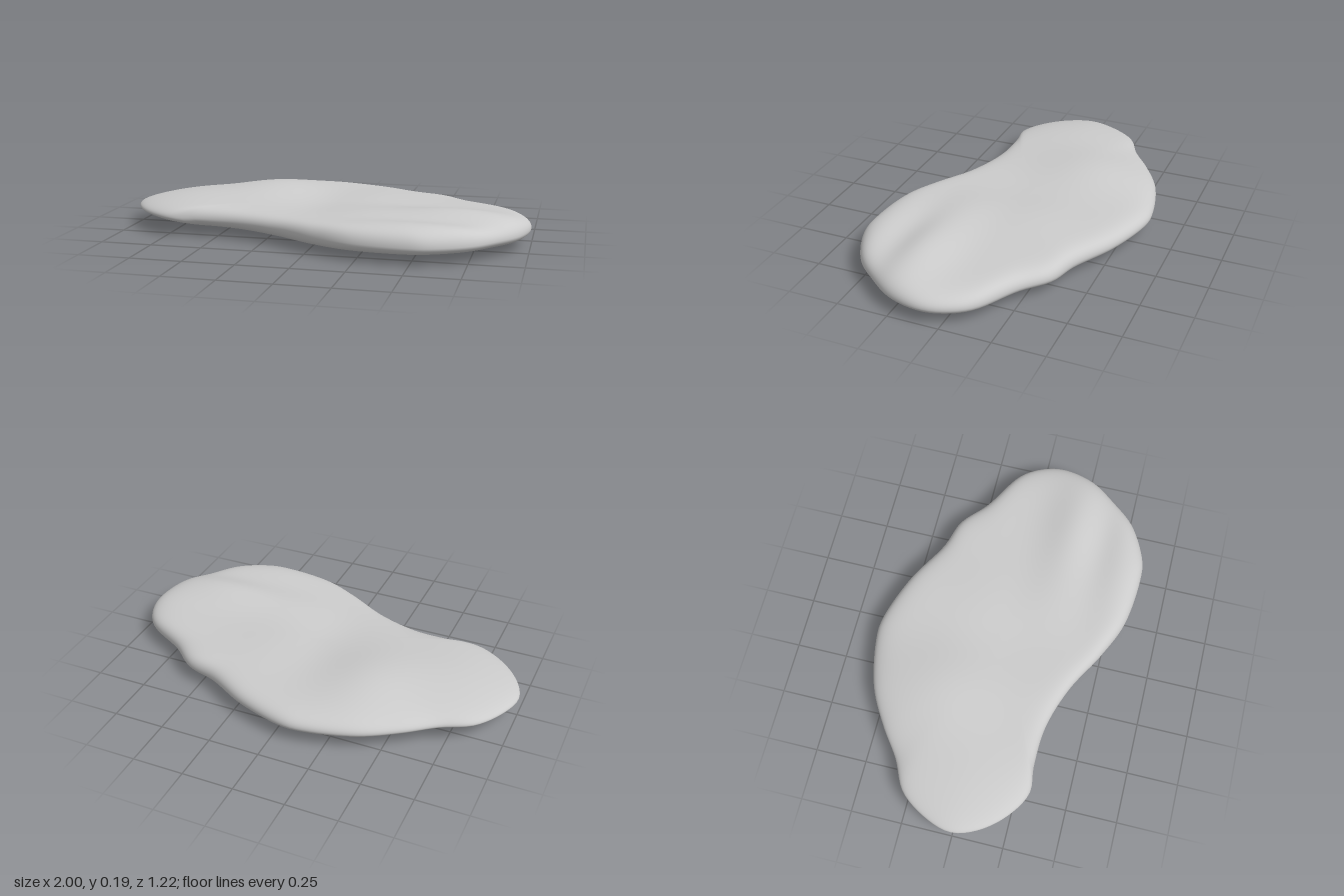
import * as THREE from 'three';
import { mergeVertices } from 'three/addons/utils/BufferGeometryUtils.js';

// Outline of the flat stone seen from above, as [x, z]
const OUTLINE = [
  [-1, 0], [-0.97, -0.12], [-0.87, -0.27], [-0.72, -0.35], [-0.58, -0.45], [-0.4, -0.55],
  [-0.15, -0.61], [-0.05, -0.61], [0.2, -0.53], [0.42, -0.41], [0.57, -0.36], [0.7, -0.25],
  [0.91, -0.12], [0.98, -0.01], [1, 0.1], [0.96, 0.26], [0.87, 0.39], [0.76, 0.51],
  [0.58, 0.6], [0.48, 0.61], [0.22, 0.58], [0.03, 0.5], [-0.18, 0.385], [-0.4, 0.315],
  [-0.6, 0.305], [-0.73, 0.315], [-0.86, 0.24], [-0.96, 0.12],
];

// Soft swellings and hollows: [x, z, width x, width z, height]
const TOP_BUMPS = [
  [-0.33, -0.22, 0.17, 0.2, 0.042], [0.65, 0.23, 0.22, 0.1, 0.042], [0.5, 0.5, 0.25, 0.08, 0.024],
  [-0.7, 0.02, 0.2, 0.25, 0.022], [0.2, -0.12, 0.16, 0.16, 0.012], [-0.05, 0.05, 0.12, 0.2, -0.008],
  [0.25, 0.22, 0.14, 0.12, 0.01], [0.7, 0.36, 0.2, 0.06, -0.008],
];
const BOTTOM_BUMPS = [
  [0.22, 0.05, 0.28, 0.26, -0.037], [-0.15, -0.05, 0.3, 0.3, -0.012],
  [-0.9, 0, 0.25, 0.4, 0.015], [0.95, 0.1, 0.12, 0.2, -0.01],
];

const relief = (bumps, x, z) => bumps.reduce((sum, [cx, cz, wx, wz, h]) =>
  sum + h * Math.exp(-(((x - cx) / wx) ** 2 + ((z - cz) / wz) ** 2) / 2), 0);

function stoneGeometry(segments = 160, rings = 30) {
  const curve = new THREE.CatmullRomCurve3(
    OUTLINE.map(([x, z]) => new THREE.Vector3(x, 0, z)), true, 'centripetal');
  const rim = curve.getSpacedPoints(segments).slice(0, segments);
  const cx = 0.05, cz = 0;
  const positions = [], index = [];

  // Rings run from the top centre out over the rim and back to the bottom centre
  for (let k = -rings; k <= rings; k++) {
    const s = 1 - (k / rings) ** 2;
    for (const p of rim) {
      const x = cx + (p.x - cx) * s, z = cz + (p.z - cz) * s;
      // Thin, tapering left tip; blunt right end and front edge
      const blunt = THREE.MathUtils.smoothstep(p.x, -1, 0.6);
      const power = 6 + 9 * blunt + 5 * blunt * THREE.MathUtils.smoothstep(p.z, 0, 0.5);
      const fade = Math.sqrt(Math.max(0, 1 - s ** power));
      const rimY = 0.098 - 0.012 * blunt;
      const face = k < 0 ? 0.148 + relief(TOP_BUMPS, x, z) : 0.045 + relief(BOTTOM_BUMPS, x, z);
      positions.push(x, rimY + (face - rimY) * fade, z);
    }
  }
  for (let r = 0; r < 2 * rings; r++) {
    for (let i = 0; i < segments; i++) {
      const j = (i + 1) % segments;
      const a = r * segments + i, b = r * segments + j;
      const c = a + segments, d = b + segments;
      // The outline runs clockwise as seen from above
      if (r > 0) index.push(a, b, c);
      if (r < 2 * rings - 1) index.push(b, d, c);
      else index.push(a, b, c);
    }
  }
  const raw = new THREE.BufferGeometry();
  raw.setAttribute('position', new THREE.Float32BufferAttribute(positions, 3));
  raw.setIndex(index);
  const geometry = mergeVertices(raw, 1e-5);

  // Face the surface outward whichever way the outline winds
  const pos = geometry.attributes.position, ix = geometry.index.array;
  const v = [0, 1, 2].map(() => new THREE.Vector3());
  let volume = 0;
  for (let i = 0; i < ix.length; i += 3) {
    v.forEach((q, n) => q.fromBufferAttribute(pos, ix[i + n]));
    volume += v[0].dot(v[1].cross(v[2]));
  }
  if (volume < 0) for (let i = 0; i < ix.length; i += 3) [ix[i], ix[i + 1]] = [ix[i + 1], ix[i]];

  geometry.computeBoundingBox();
  geometry.translate(0, -geometry.boundingBox.min.y, 0);
  geometry.computeVertexNormals();
  return geometry;
}

export function createModel() {
  const group = new THREE.Group();
  group.name = 'flatStone';
  const stone = new THREE.Mesh(stoneGeometry(), new THREE.MeshStandardMaterial({ color: 0xcccccc }));
  stone.name = 'stone';
  group.add(stone);
  return group;
}
